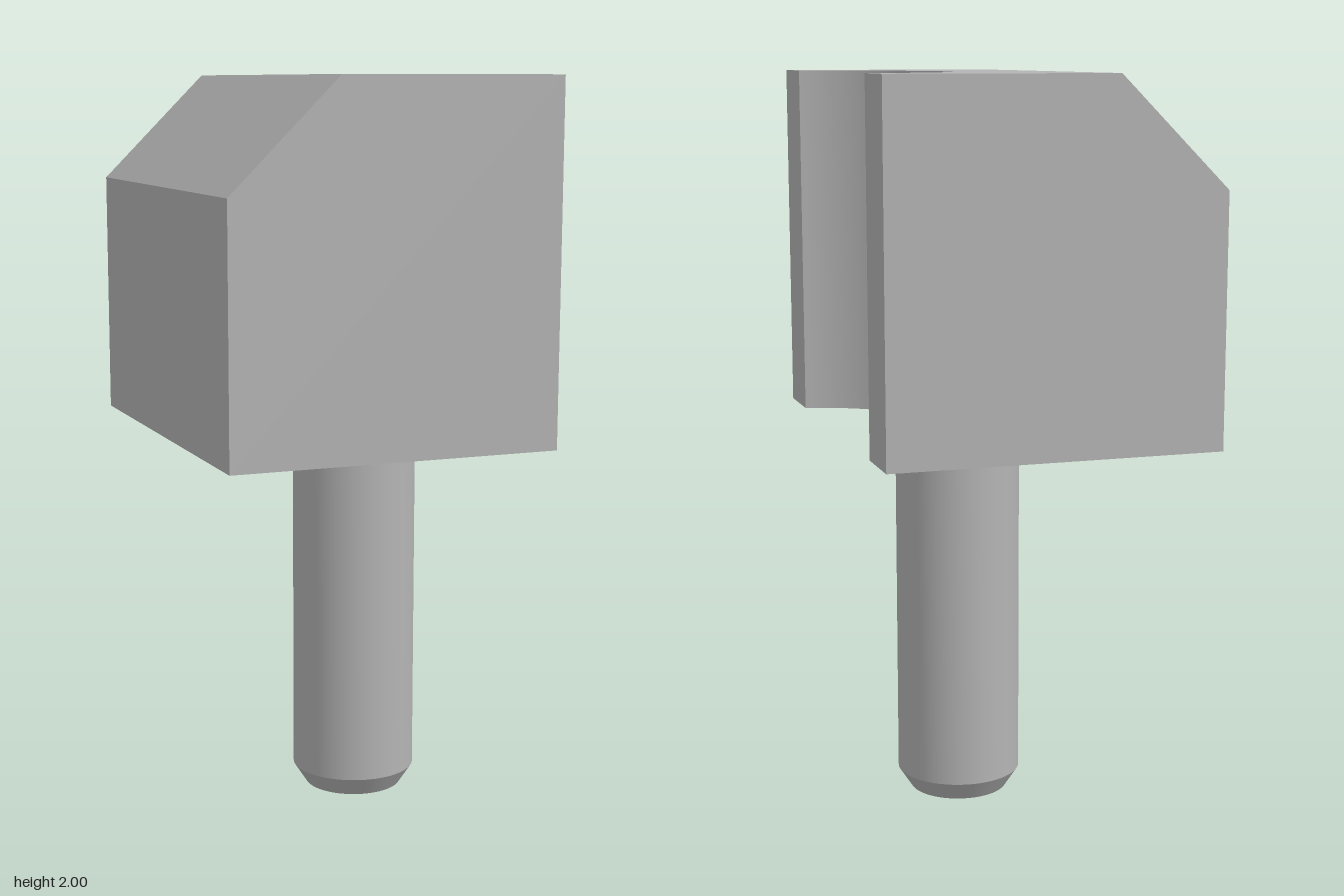
import * as THREE from 'three';
import { toCreasedNormals } from 'three/addons/utils/BufferGeometryUtils.js';

const BOTTOM = 1.04, TOP = 2, LEFT = -0.45, RIGHT = 0.447, DEPTH = 0.55;
const NOTCH_X = 0.514, NOTCH_R = 0.386, NOTCH_Z = 0.38;

// Chamfered cross-section, counter-clockwise, with its right side at the given x
const section = (right, z) => [
  [LEFT, BOTTOM, z], [right, BOTTOM, z], [right, TOP, z], [-0.157, TOP, z], [LEFT, 1.71, z],
];

// Block lofted along z; the right side follows the round notch
function blockGeometry() {
  const rings = [section(RIGHT, -DEPTH)];
  const steps = 40, half = Math.asin(NOTCH_Z / NOTCH_R);
  for (let i = 0; i <= steps; i++) {
    const t = half * (2 * i / steps - 1);
    rings.push(section(NOTCH_X - NOTCH_R * Math.cos(t), NOTCH_R * Math.sin(t)));
  }
  rings.push(section(RIGHT, DEPTH));

  const pos = [];
  const tri = (a, b, c) => pos.push(...a, ...b, ...c);
  for (let k = 0; k < rings.length - 1; k++) {
    const a = rings[k], b = rings[k + 1];
    for (let i = 0; i < 5; i++) {
      const j = (i + 1) % 5;
      tri(a[i], a[j], b[j]);
      tri(a[i], b[j], b[i]);
    }
  }
  // End caps
  const back = rings[0], front = rings[rings.length - 1];
  for (let i = 1; i < 4; i++) {
    tri(back[0], back[i + 1], back[i]);
    tri(front[0], front[i], front[i + 1]);
  }
  const geometry = new THREE.BufferGeometry();
  geometry.setAttribute('position', new THREE.Float32BufferAttribute(pos, 3));
  return toCreasedNormals(geometry, 0.4);
}

// Round pin with a chamfered foot
function pinGeometry() {
  const profile = [[0, 0], [0.135, 0], [0.171, 0.055], [0.171, BOTTOM], [0, BOTTOM]];
  const lathe = new THREE.LatheGeometry(profile.map(([x, y]) => new THREE.Vector2(x, y)), 64);
  return toCreasedNormals(lathe, 0.4);
}

export function createModel() {
  const grey = new THREE.MeshStandardMaterial({ color: 0xb4b4b4 });
  grey.name = 'grey metal';

  const block = new THREE.Mesh(blockGeometry(), grey);
  block.name = 'notchedBlock';

  const pin = new THREE.Mesh(pinGeometry(), grey);
  pin.name = 'pin';
  pin.position.x = 0.102;

  const model = new THREE.Group();
  model.name = 'notchedLocatingPin';
  model.add(block, pin);
  return model;
}
